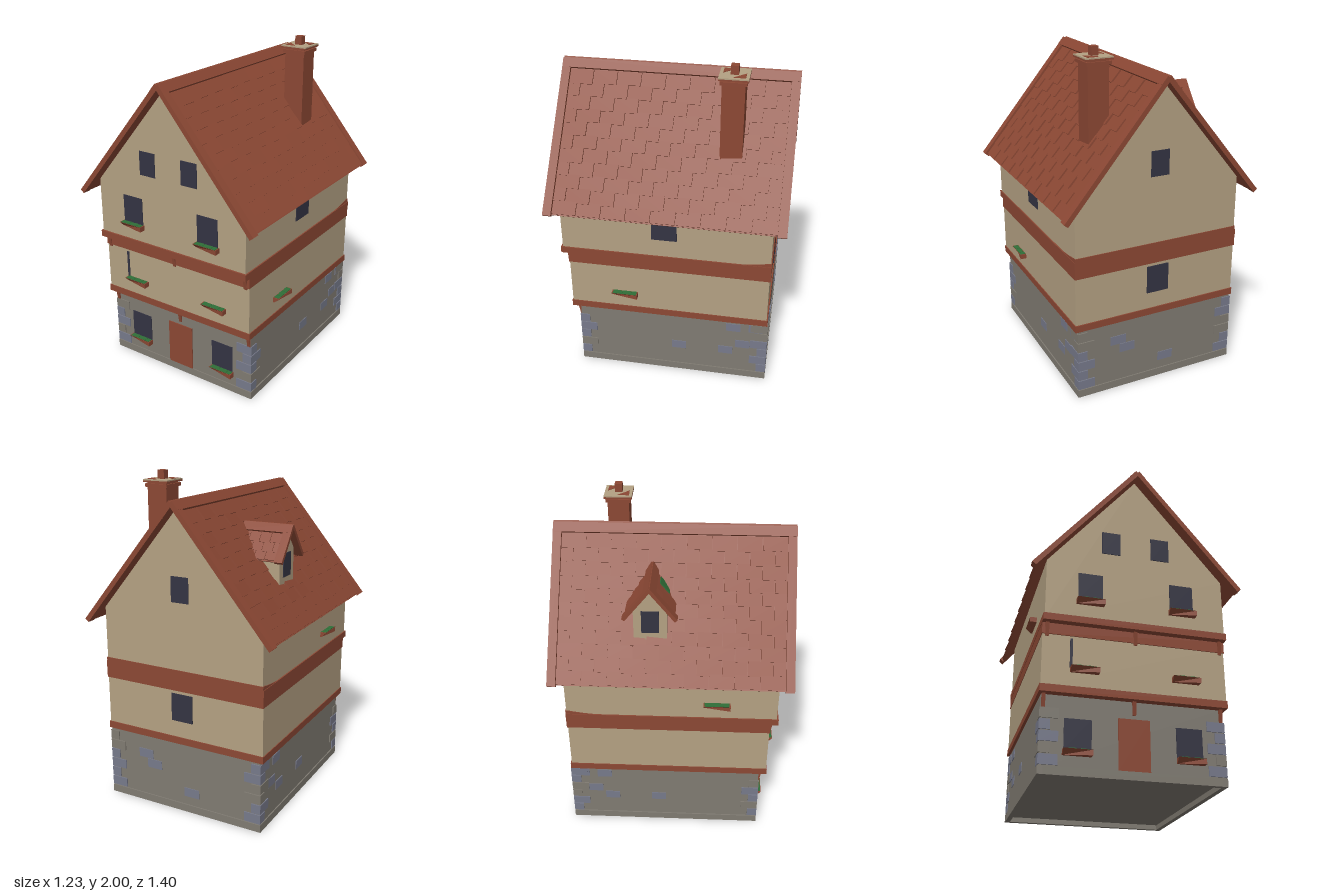
import * as THREE from 'three';

const mat = (name, color) => {
  const m = new THREE.MeshStandardMaterial({ color });
  m.name = name;
  return m;
};

export function createModel() {
  const plaster = mat('plaster', 0xb4a183);
  const brown = mat('brown timber and tile', 0x8c4834);
  const stone = mat('grey stone', 0x807b72);
  const blueStone = mat('blue stone', 0x777a8b);
  const glass = mat('dark glass', 0x343443);
  const green = mat('leaf green', 0x2f6f38);

  const house = new THREE.Group();
  house.name = 'house';
  let seed = 7;
  const rand = () => (seed = (seed * 16807) % 2147483647) / 2147483647;

  const add = (name, geo, material, parent = house) => {
    const m = new THREE.Mesh(geo, material);
    m.name = name;
    parent.add(m);
    return m;
  };
  // box given by its limits on each axis
  const box = (name, material, x0, x1, y0, y1, z0, z1, parent = house) => {
    const m = add(name, new THREE.BoxGeometry(x1 - x0, y1 - y0, z1 - z0), material, parent);
    m.position.set((x0 + x1) / 2, (y0 + y1) / 2, (z0 + z1) / 2);
    return m;
  };
  const polygon = (pts) => new THREE.Shape(pts.map((p) => new THREE.Vector2(p[0], p[1])));
  // house-shaped block: walls up to the eaves, then a gable
  const gableBlock = (name, half, y0, eaves, apex, z0, z1, parent) => {
    const s = polygon([[-half, y0], [half, y0], [half, eaves], [0, apex], [-half, eaves]]);
    const g = new THREE.ExtrudeGeometry(s, { depth: z1 - z0, bevelEnabled: false });
    return add(name, g.translate(0, 0, z0), plaster, parent);
  };

  // hollow plinth rim
  for (const s of [-1, 1]) box('plinthSide', stone, s * 0.505 - 0.015, s * 0.505 + 0.015, 0, 0.047, -0.632, 0.552);
  box('plinthFront', stone, -0.49, 0.49, 0, 0.047, 0.522, 0.552);
  box('plinthBack', stone, -0.49, 0.49, 0, 0.047, -0.632, -0.602);

  // storeys, each jettied out at the front
  box('groundFloor', stone, -0.513, 0.513, 0.03, 0.44, -0.625, 0.546);
  box('middleFloor', plaster, -0.525, 0.525, 0.46, 0.8, -0.62, 0.588);
  gableBlock('upperFloor', 0.522, 0.845, 1.212, 1.84, -0.622, 0.625, house);

  // timber bands
  box('lowerBand', brown, -0.53, 0.53, 0.435, 0.477, -0.627, 0.593);
  box('middleBand', brown, -0.528, 0.528, 0.77, 0.84, -0.627, 0.594);
  box('upperBand', brown, -0.53, 0.53, 0.835, 0.875, -0.627, 0.636);
  box('backBand', brown, -0.526, 0.526, 0.87, 0.897, -0.627, -0.6);
  // band edge rising towards the back on the side walls
  const rise = polygon([[0.4, 0.87], [0.625, 0.87], [0.625, 0.898], [0.52, 0.882]]);
  for (const s of [-1, 1]) {
    const m = add('bandRise', new THREE.ExtrudeGeometry(rise, { depth: 0.008, bevelEnabled: false }), brown);
    m.rotation.y = Math.PI / 2;
    m.position.x = s * 0.522 - 0.004;
  }

  // slim brackets below the jetties
  const bracket = polygon([[0, 0], [0.006, 0], [0.02, 0.08], [0, 0.08]]);
  for (const [y, z] of [[0.357, 0.545], [0.757, 0.587]])
    for (const x of [-0.5, 0, 0.5]) {
      const m = add('bracket', new THREE.ExtrudeGeometry(bracket, { depth: 0.02, bevelEnabled: false }), brown);
      m.rotation.y = -Math.PI / 2;
      m.position.set(x + 0.01, y, z);
    }

  // door and windows
  box('door', brown, -0.09, 0.087, 0.047, 0.335, 0.544, 0.552);
  for (const s of [-1, 1]) {
    box('groundWindow', glass, s * 0.31 - 0.075, s * 0.31 + 0.075, 0.138, 0.31, 0.544, 0.55);
    box('upperWindow', glass, s * 0.268 - 0.07, s * 0.268 + 0.07, 0.985, 1.153, 0.623, 0.629);
    box('atticWindow', glass, s * 0.147 - 0.055, s * 0.147 + 0.055, 1.305, 1.45, 0.623, 0.629);
  }
  box('windowSliver', glass, -0.37, -0.355, 0.585, 0.755, 0.586, 0.592);
  box('backAtticWindow', glass, -0.057, 0.057, 1.3, 1.45, -0.626, -0.62);
  box('backMiddleWindow', glass, -0.07, 0.07, 0.58, 0.75, -0.626, -0.618);
  box('sideWindow', glass, 0.52, 0.527, 0.99, 1.15, -0.07, 0.08);

  // flower boxes with a skewed front; turn is the wall direction
  const troughIndexed = new THREE.BoxGeometry(0.158, 0.03, 0.04);
  const tp = troughIndexed.attributes.position;
  for (let i = 0; i < tp.count; i++)
    if (tp.getX(i) < 0 && tp.getY(i) < 0 && tp.getZ(i) > 0) tp.setZ(i, -0.01);
  const troughGeo = troughIndexed.toNonIndexed();
  troughGeo.computeVertexNormals();
  const flowerBox = (x, y, z, turn) => {
    const g = new THREE.Group();
    g.name = 'flowerBox';
    add('trough', troughGeo, brown, g).position.set(0, 0.015, 0.02);
    for (let i = -2; i <= 2; i++)
      box('leaves', green, i * 0.029 - 0.0145, i * 0.029 + 0.0145, 0.028, 0.032 + 0.002 * Math.abs(i % 2),
        0.003 + 0.004 * Math.abs(i % 2), 0.037, g);
    g.position.set(x, y, z);
    g.rotation.y = turn;
    house.add(g);
  };
  for (const s of [-1, 1]) {
    flowerBox(s * 0.313, 0.108, 0.544, 0);
    flowerBox(s * 0.288, 0.557, 0.587, 0);
    flowerBox(s * 0.269, 0.955, 0.624, 0);
  }
  flowerBox(0.524, 0.56, 0.25, Math.PI / 2);
  flowerBox(-0.521, 0.955, 0.27, -Math.PI / 2);

  // corner stones in alternating lengths
  for (const sx of [-1, 1])
    for (const back of [false, true])
      for (let i = 0; i < (back ? 6 : 5); i++) {
        const w = i % 2 ? 0.06 : 0.105, d = i % 2 ? 0.105 : 0.06;
        const y = 0.052 + i * 0.063, cx = sx * 0.519, cz = back ? -0.632 : 0.552;
        const x1 = cx - sx * w, z1 = cz + (back ? d : -d);
        box('cornerStone', rand() < 0.72 ? blueStone : stone, Math.min(cx, x1), Math.max(cx, x1),
          y, y + 0.057, Math.min(cz, z1), Math.max(cz, z1));
      }
  // scattered stones in the walls
  for (const [z, y] of [[-0.08, 0.2], [-0.42, 0.385], [-0.375, 0.2], [-0.48, 0.26], [-0.56, 0.39]])
    for (const s of [-1, 1])
      box('wallStone', blueStone, s * 0.513 - 0.004, s * 0.513 + 0.004, y - 0.028, y + 0.028, z - 0.045, z + 0.045);
  for (const [x, y] of [[0.26, 0.32], [0.2, 0.26], [-0.06, 0.13]])
    box('wallStone', blueStone, x - 0.05, x + 0.05, y - 0.028, y + 0.028, -0.629, -0.62);

  // one roof slope: x runs down the slope, y points out of it
  const slope = (parent, side, o) => {
    const turn = new THREE.Group();
    turn.name = 'roofSlope';
    const g = new THREE.Group();
    g.name = 'slopeParts';
    turn.scale.x = side;
    turn.position.y = o.apex;
    g.rotation.z = -o.angle;
    turn.add(g);
    parent.add(turn);
    const { len, z0, z1, board, thick } = o;
    box('roofDeck', brown, 0, len - 0.008, 0, thick * 0.35, z0 + 0.004, z1 - 0.004, g);
    box('frontVerge', brown, -0.01, len, 0, thick, z1 - board, z1, g);
    if (o.backVerge) box('backVerge', brown, -0.01, len, 0, thick, z0, z0 + board, g);
    box('ridgeBoard', brown, -0.02, o.ridge, 0, thick * 1.05, z0, z1, g);
    // staggered rows of tiles
    const a = o.backVerge ? z0 + board : z0, b = z1 - board;
    const w = (b - a) / o.cols, step = (len - o.ridge - 0.02) / o.rows;
    for (let r = 0; r < o.rows; r++)
      for (let c = 0; c <= o.cols; c++) {
        const s = a + (c - (r % 2) / 2) * w;
        const t0 = Math.max(a, s) + 0.002, t1 = Math.min(b, s + w) - 0.002;
        if (t1 - t0 < 0.01) continue;
        const x = o.ridge + 0.005 + r * step;
        const extra = r < o.rows - 1 ? rand() * step * 0.15 : 0;
        const tile = box('roofTile', brown, x, x + step + extra, thick * 0.3, thick * 0.65, t0, t1, g);
        tile.rotation.z = 0.03;
        tile.rotation.x = 0.035 + rand() * 0.03;
      }
    return g;
  };
  const mainRoof = { apex: 1.842, angle: Math.atan(1.205), len: 0.929, z0: -0.7, z1: 0.7, board: 0.05,
    thick: 0.029, ridge: 0.038, backVerge: true, rows: 11, cols: 9 };
  slope(house, 1, mainRoof);
  slope(house, -1, mainRoof);

  // dormer facing the right-hand side
  const dormer = new THREE.Group();
  dormer.name = 'dormer';
  dormer.position.z = -0.12;
  dormer.rotation.y = -Math.PI / 2;
  house.add(dormer);
  gableBlock('dormerWall', 0.095, 1.3, 1.552, 1.672, 0.2, 0.42, dormer);
  box('dormerWindow', glass, -0.05, 0.05, 1.4, 1.54, 0.418, 0.425, dormer);
  const dormerRoof = { apex: 1.676, angle: Math.atan(1.28), len: 0.228, z0: 0.14, z1: 0.46, board: 0.05,
    thick: 0.02, ridge: 0.035, backVerge: false, rows: 3, cols: 4 };
  const frontSlope = slope(dormer, 1, dormerRoof);
  slope(dormer, -1, dormerRoof);
  // patch of greenery in the dormer valley
  box('valleyGreen', green, 0.06, 0.145, 0.014, 0.02, 0.205, 0.275, frontSlope);

  // chimney with a capped top
  const chimney = new THREE.Group();
  chimney.name = 'chimney';
  chimney.position.set(0.275, 0, -0.347);
  house.add(chimney);
  box('stack', brown, -0.064, 0.064, 1.42, 1.93, -0.064, 0.064, chimney);
  box('collar', brown, -0.075, 0.075, 1.905, 1.924, -0.075, 0.075, chimney);
  box('capSlab', brown, -0.083, 0.083, 1.932, 1.942, -0.083, 0.083, chimney);
  box('capTop', plaster, -0.083, 0.083, 1.942, 1.949, -0.083, 0.083, chimney);
  const corner = polygon([[0, 0], [-0.066, 0], [0, -0.066]]);
  for (const s of [1, -1]) {
    const t = add('capCorner', new THREE.ExtrudeGeometry(corner, { depth: 0.004, bevelEnabled: false }), brown, chimney);
    t.rotation.set(-Math.PI / 2, 0, s > 0 ? 0 : Math.PI);
    t.position.set(s * 0.065, 1.948, -s * 0.065);
  }
  box('pot', brown, -0.022, 0.022, 1.945, 2, -0.022, 0.022, chimney);

  return house;
}
